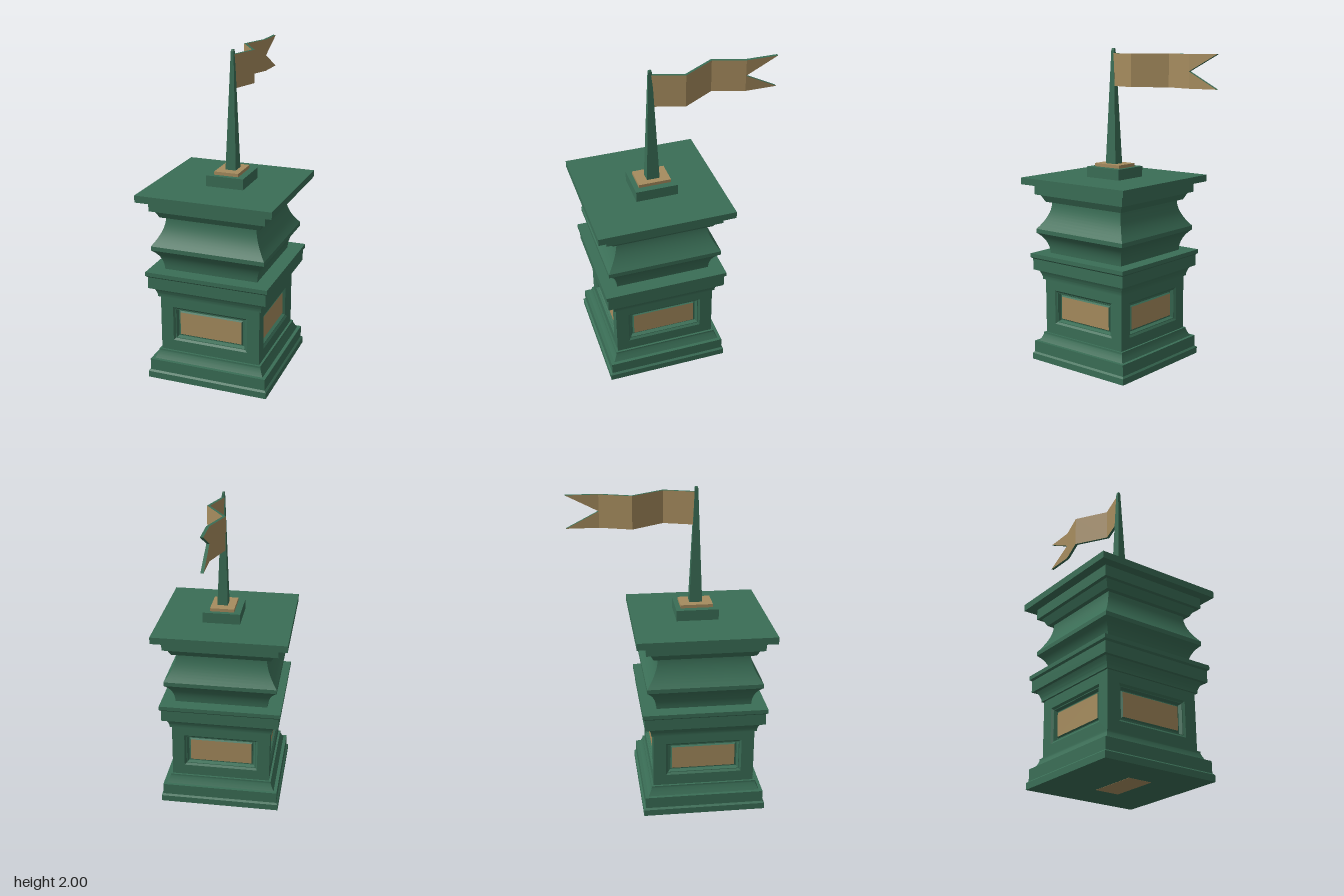
import * as THREE from 'three';
import { toCreasedNormals } from 'three/addons/utils/BufferGeometryUtils.js';

const green = new THREE.MeshStandardMaterial({ color: 0x3a6e56 });
const tan = new THREE.MeshStandardMaterial({ color: 0xa68c5e });

function add(parent, name, geometry, material, x = 0, y = 0, z = 0) {
  const mesh = new THREE.Mesh(geometry, material);
  mesh.name = name;
  mesh.position.set(x, y, z);
  parent.add(mesh);
  return mesh;
}

// Square moulding swept from [half width, height] points; a third and fourth
// number give the control point of a curve leading to that point.
function squareMoulding(profile) {
  const pts = [];
  let last;
  for (const [w, y, cw, cy] of profile) {
    const p = new THREE.Vector2(w * Math.SQRT2, y);
    if (cw === undefined) pts.push(p);
    else {
      const control = new THREE.Vector2(cw * Math.SQRT2, cy);
      pts.push(...new THREE.QuadraticBezierCurve(last, control, p).getPoints(10).slice(1));
    }
    last = p;
  }
  return toCreasedNormals(new THREE.LatheGeometry(pts, 4, Math.PI / 4), 0.5);
}

// Rectangular rings [half width, half height, z], joined from outside to inside
function nestedFrame(rings) {
  const pos = [];
  const corner = ([w, h, z], i) => [i === 0 || i === 3 ? -w : w, i < 2 ? -h : h, z];
  for (let r = 0; r < rings.length - 1; r++) {
    for (let i = 0; i < 4; i++) {
      const j = (i + 1) % 4;
      const a = corner(rings[r], i), b = corner(rings[r], j);
      const c = corner(rings[r + 1], j), d = corner(rings[r + 1], i);
      pos.push(...a, ...b, ...c, ...a, ...c, ...d);
    }
  }
  const g = new THREE.BufferGeometry();
  g.setAttribute('position', new THREE.Float32BufferAttribute(pos, 3));
  g.computeVertexNormals();
  return g;
}

function rectangle(target, w, y0, y1) {
  target.moveTo(-w, y0);
  target.lineTo(w, y0);
  target.lineTo(w, y1);
  target.lineTo(-w, y1);
  target.closePath();
  return target;
}

function createPedestal() {
  const pedestal = new THREE.Group();
  pedestal.name = 'pedestal';
  const half = 0.317, y0 = 0.18, y1 = 0.535, panelY = 0.36;

  add(pedestal, 'baseMoulding', squareMoulding([
    [0, 0], [0.384, 0], [0.384, 0.04], [0.373, 0.05], [0.373, 0.122], [0.352, 0.122],
    [0.33, 0.17, 0.336, 0.15], [0.33, y0], [half, y0],
  ]), green);

  add(pedestal, 'upperMouldings', squareMoulding([
    [half, y1], [0.33, y1], [0.33, 0.55], [0.352, 0.6, 0.336, 0.575],
    [0.373, 0.6], [0.373, 0.672], [0.384, 0.682], [0.384, 0.707], [0.294, 0.707],
    [0.355, 0.84, 0.296, 0.79], [0.355, 0.866],
    [0.283, 1.04, 0.283, 0.955], [0.312, 1.04], [0.336, 1.088],
    [0.36, 1.088], [0.36, 1.155], [0.419, 1.155], [0.419, 1.198], [0, 1.198],
  ]), green);

  // Four walls, each with a sunken panel
  const wallShape = rectangle(new THREE.Shape(), half, y0, y1);
  wallShape.holes.push(rectangle(new THREE.Path(), 0.238, panelY - 0.111, panelY + 0.111));
  const wall = new THREE.ShapeGeometry(wallShape);
  const frame = nestedFrame([
    [0.238, 0.111, 0], [0.226, 0.099, -0.01], [0.222, 0.095, -0.01],
    [0.212, 0.086, -0.03], [0.205, 0.08, -0.03], [0.198, 0.073, -0.02],
  ]);
  const panel = new THREE.PlaneGeometry(0.396, 0.146);
  for (let i = 0; i < 4; i++) {
    const side = new THREE.Group();
    side.name = 'side' + (i + 1);
    side.rotation.y = i * Math.PI / 2;
    add(side, 'wall', wall, green, 0, 0, half);
    add(side, 'panelFrame', frame, green, 0, panelY, half);
    add(side, 'panel', panel, tan, 0, panelY, half - 0.02);
    pedestal.add(side);
  }
  add(pedestal, 'bottomPlate', new THREE.BoxGeometry(0.16, 0.01, 0.31), tan, 0.02, 0.004, 0.01);
  return pedestal;
}

// Folded swallowtail pennant: tan faces, green edges
function createFlag() {
  const flag = new THREE.Group();
  flag.name = 'flag';
  const path = [[0.027, 0.165], [0.085, -0.023], [-0.036, -0.218], [0.025, -0.41], [0.025, -0.605]];
  const bottom = 1.77, top = 1.97, middle = 1.87, thick = 0.018;

  function piece(name, outline, [xa, za], [xb, zb]) {
    const shape = new THREE.Shape(outline.map(([z, y]) => new THREE.Vector2(z, y)));
    const g = new THREE.ExtrudeGeometry(shape, { depth: thick, bevelEnabled: false });
    g.translate(0, 0, -thick / 2).rotateY(-Math.PI / 2);
    // Shear sideways so the piece follows its fold
    const p = g.attributes.position;
    for (let i = 0; i < p.count; i++) {
      p.setX(i, p.getX(i) + xa + (xb - xa) * (p.getZ(i) - za) / (zb - za));
    }
    g.computeVertexNormals();
    add(flag, name, g, [tan, green]);
  }

  for (let i = 0; i < 3; i++) {
    const a = path[i], b = path[i + 1];
    piece('flagFold' + (i + 1), [[a[1], bottom], [a[1], top], [b[1], top], [b[1], bottom]], a, b);
  }
  const [a, b] = [path[3], path[4]];
  piece('upperTail', [[a[1], middle], [a[1], top], [b[1], top]], a, b);
  piece('lowerTail', [[a[1], middle], [a[1], bottom], [b[1], bottom]], a, b);
  return flag;
}

export function createModel() {
  const model = new THREE.Group();
  model.name = 'pedestalWithFlag';

  const pedestal = createPedestal();
  pedestal.position.z = 0.187;
  model.add(pedestal);

  // Stepped socket and tapering square pole
  add(model, 'poleBlock', new THREE.BoxGeometry(0.235, 0.07, 0.26), green, 0.021, 1.23, 0.17);
  add(model, 'polePlate', new THREE.BoxGeometry(0.152, 0.025, 0.2), tan, 0.021, 1.2725, 0.17);
  const pole = squareMoulding([[0.5, 0], [0.13, 0.985], [0.1, 1], [0, 1]]);
  pole.scale(0.066, 0.72, 0.08);
  add(model, 'pole', pole, green, 0.027, 1.28, 0.17);

  model.add(createFlag());
  return model;
}
